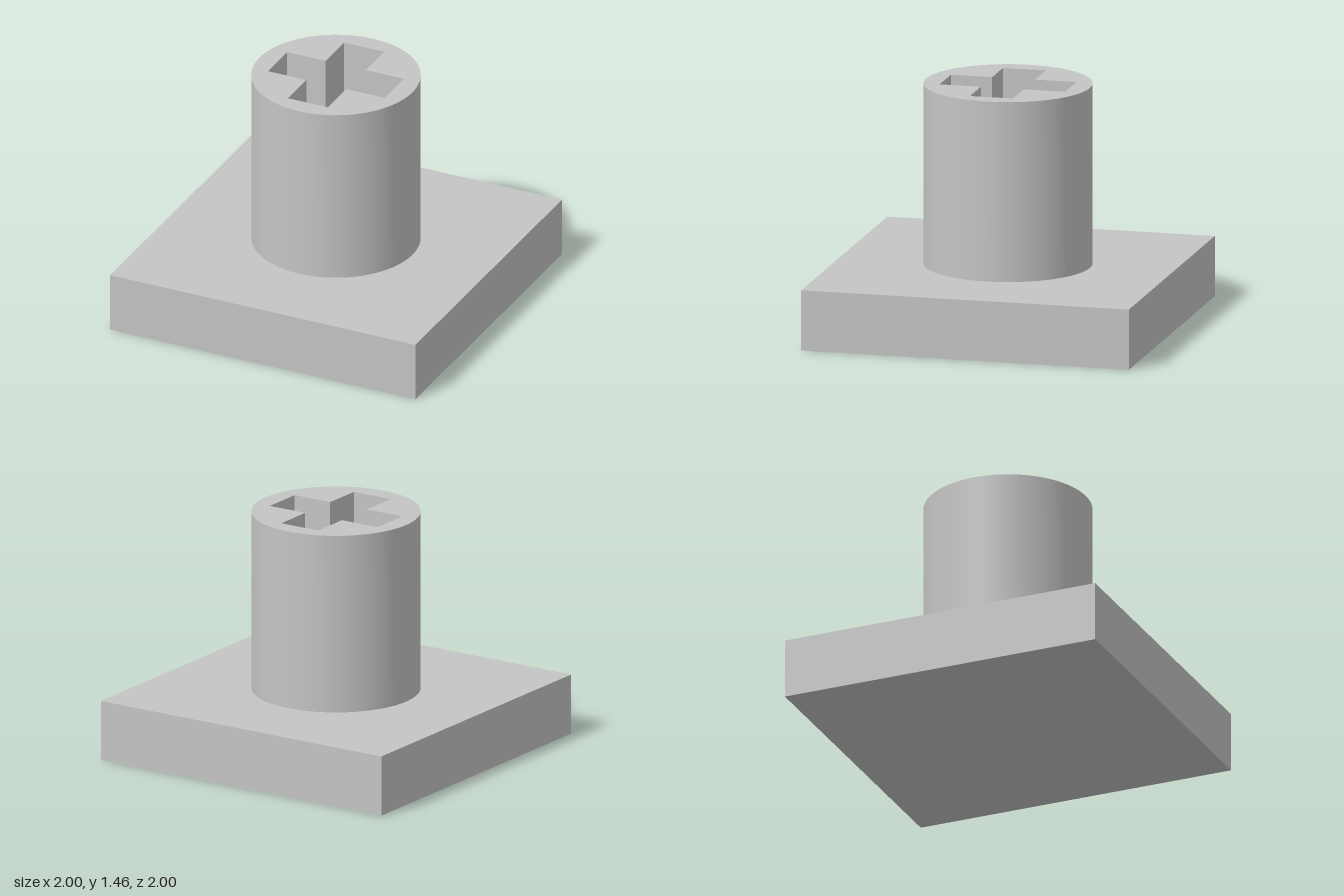
import * as THREE from 'three';
import { toCreasedNormals } from 'three/addons/utils/BufferGeometryUtils.js';

const BASE_HEIGHT = 0.365;
const TOP = 1.455;

// Plus-shaped outline with arms of the given reach and half width
function crossPath(reach, half) {
  const points = [];
  for (let i = 0; i < 4; i++) {
    const turn = (i * Math.PI) / 2;
    for (const [x, y] of [[reach, -half], [reach, half], [half, half]]) {
      points.push(new THREE.Vector2(x, y).rotateAround(new THREE.Vector2(), turn));
    }
  }
  return new THREE.Path(points);
}

export function createModel() {
  const group = new THREE.Group();
  const grey = new THREE.MeshStandardMaterial({ color: 0xc4c4c4 });
  grey.name = 'light grey';

  // Square plate
  const base = new THREE.Mesh(new THREE.BoxGeometry(2, BASE_HEIGHT, 2), grey);
  base.name = 'basePlate';
  base.position.y = BASE_HEIGHT / 2;
  group.add(base);

  // Round post with a cross-shaped socket running down to the plate
  const outline = new THREE.Shape().absarc(0, 0, 0.5, 0, Math.PI * 2);
  outline.holes.push(crossPath(0.383, 0.131));
  const postGeometry = new THREE.ExtrudeGeometry(outline, {
    depth: TOP - BASE_HEIGHT,
    curveSegments: 64,
    bevelEnabled: false,
  });
  postGeometry.rotateX(-Math.PI / 2);
  const post = new THREE.Mesh(toCreasedNormals(postGeometry, 0.6), grey);
  post.name = 'socketPost';
  post.position.y = BASE_HEIGHT;
  group.add(post);

  return group;
}
